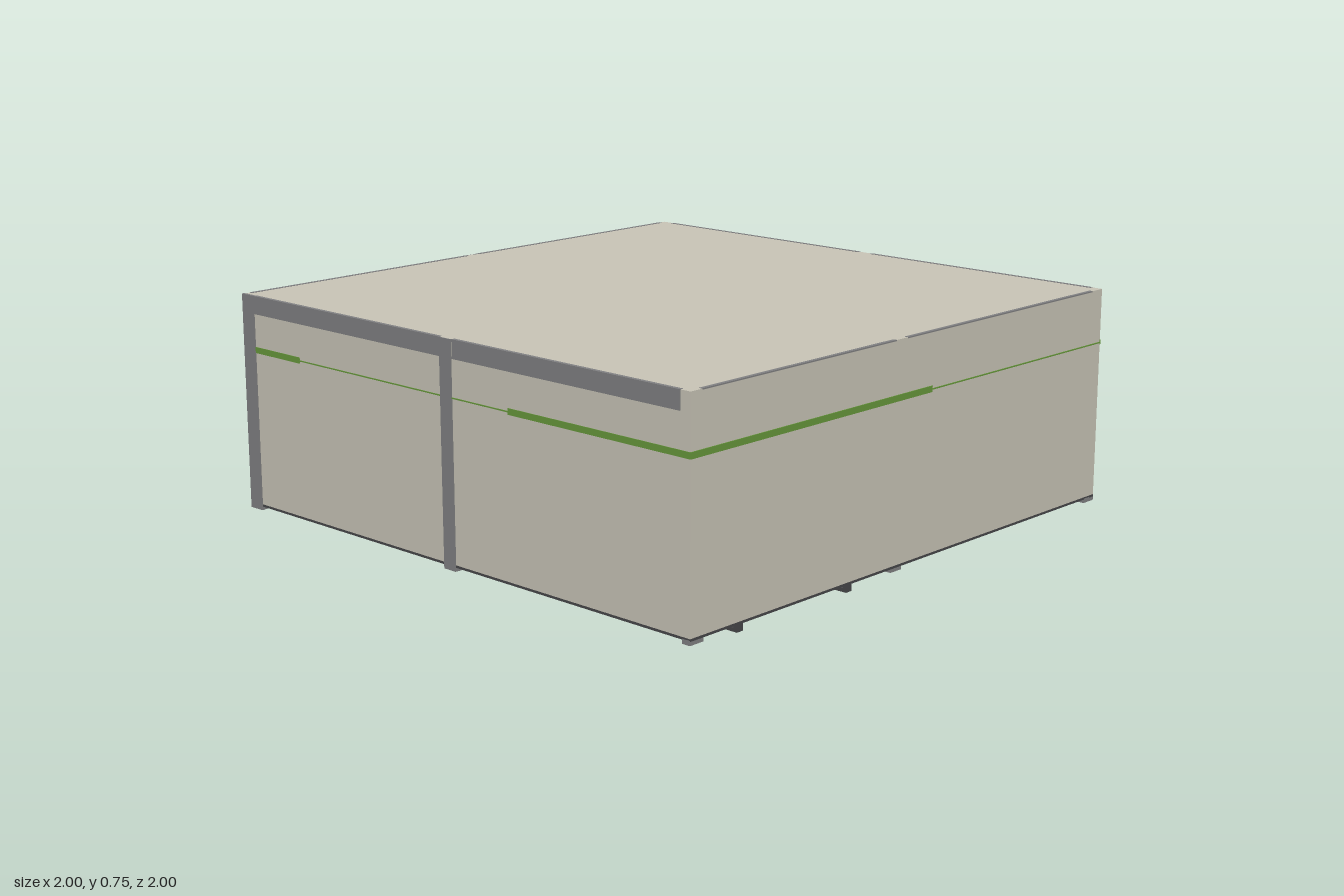
import * as THREE from 'three';

const material = (name, color) => {
  const m = new THREE.MeshStandardMaterial({ color });
  m.name = name;
  return m;
};

export function createModel() {
  const model = new THREE.Group();
  model.name = 'container';
  const beige = material('beige panel', 0xcbc7b9);
  const grey = material('grey frame', 0x828284);
  const dark = material('dark underside', 0x48484a);
  const green = material('green stripe', 0x689a3c);

  // Box given by its min and max on each axis
  const box = (name, mat, [x0, x1], [y0, y1], [z0, z1]) => {
    const mesh = new THREE.Mesh(new THREE.BoxGeometry(x1 - x0, y1 - y0, z1 - z0), mat);
    mesh.position.set((x0 + x1) / 2, (y0 + y1) / 2, (z0 + z1) / 2);
    mesh.name = name;
    model.add(mesh);
  };

  const E = 0.997, TOP = 0.749;
  // Body and floor
  box('body', beige, [-E, E], [0.045, TOP], [-E, E]);
  box('floor', dark, [-E, E], [0.037, 0.045], [-E, E]);

  // Visible front posts and top rails
  box('frontCornerPost', grey, [-1, -0.94], [0.025, 0.75], [0.99, 1]);
  box('frontMiddlePost', grey, [-0.027, 0.025], [0.025, TOP], [0.99, 1]);
  box('frontRail', grey, [-0.94, -0.027], [0.69, 0.75], [0.987, 1]);
  box('frontRail', grey, [0.03, 0.96], [0.69, 0.75], [0.987, 1]);
  // Middle post on the right-hand side of the model
  box('sideMiddlePost', grey, [-1, -0.99], [0.025, TOP], [-0.027, 0.025]);

  // Rail edges showing along the roof
  const edge = [0.746, 0.75];
  for (const z of [[-0.97, -0.025], [0.025, 0.97]]) box('sideRail', grey, [-0.998, -0.985], edge, z);
  for (const z of [[-0.94, 0.045], [0.1, 0.95]]) box('sideRail', grey, [0.985, 0.998], edge, z);
  for (const x of [[-0.95, -0.025], [0.03, 0.96]]) box('backRail', grey, x, edge, [-0.998, -0.985]);

  // Post feet at the corners and side middles
  const foot = (x, z, w = 0.055, d = 0.055) =>
    box('postFoot', grey, [x - w / 2, x + w / 2], [0.025, 0.04], [z - d / 2, z + d / 2]);
  for (const z of [-0.97, 0.97]) {
    foot(-0.97, z);
    foot(0.982, z, 0.03);
  }
  foot(0, 0.98, 0.052, 0.03);
  foot(0, -0.98, 0.052, 0.03);
  foot(-0.98, 0, 0.03, 0.052);
  foot(0.98, 0.075, 0.03, 0.052);

  // Thin fixing plates under the floor
  for (const [x, z] of [[0.935, 0.145], [0.935, 0.01], [-0.925, -0.395], [-0.925, -0.53]])
    box('floorPlate', grey, [x - 0.025, x + 0.025], [0.032, 0.038], [z - 0.027, z + 0.027]);

  // U-shaped hanging brackets
  for (const z of [0.76, 0.27]) {
    const depth = [z - 0.013, z + 0.013];
    box('bracketBase', dark, [0.82, 0.97], [0, 0.012], depth);
    box('bracketArm', dark, [0.82, 0.832], [0.012, 0.04], depth);
    box('bracketArm', dark, [0.958, 0.97], [0.012, 0.04], depth);
  }

  // Green stripes: broad sections joined by a fine line
  const broad = [0.56, 0.58], fine = [0.567, 0.571];
  const front = [0.996, 0.999], left = [0.996, 1];
  box('frontStripe', green, [-0.94, -0.71], broad, front);
  box('frontStripe', green, [0.27, 0.998], broad, front);
  box('frontLine', green, [-0.71, 0.27], fine, front);
  box('sideStripe', green, left, broad, [-0.08, 0.998]);
  box('sideLine', green, left, fine, [-0.998, -0.08]);
  box('backStripe', green, [-0.998, 0.998], [0.562, 0.578], [-1, -0.996]);
  box('sideLine', green, [-0.999, -0.996], fine, [-0.998, 0.998]);

  return model;
}
